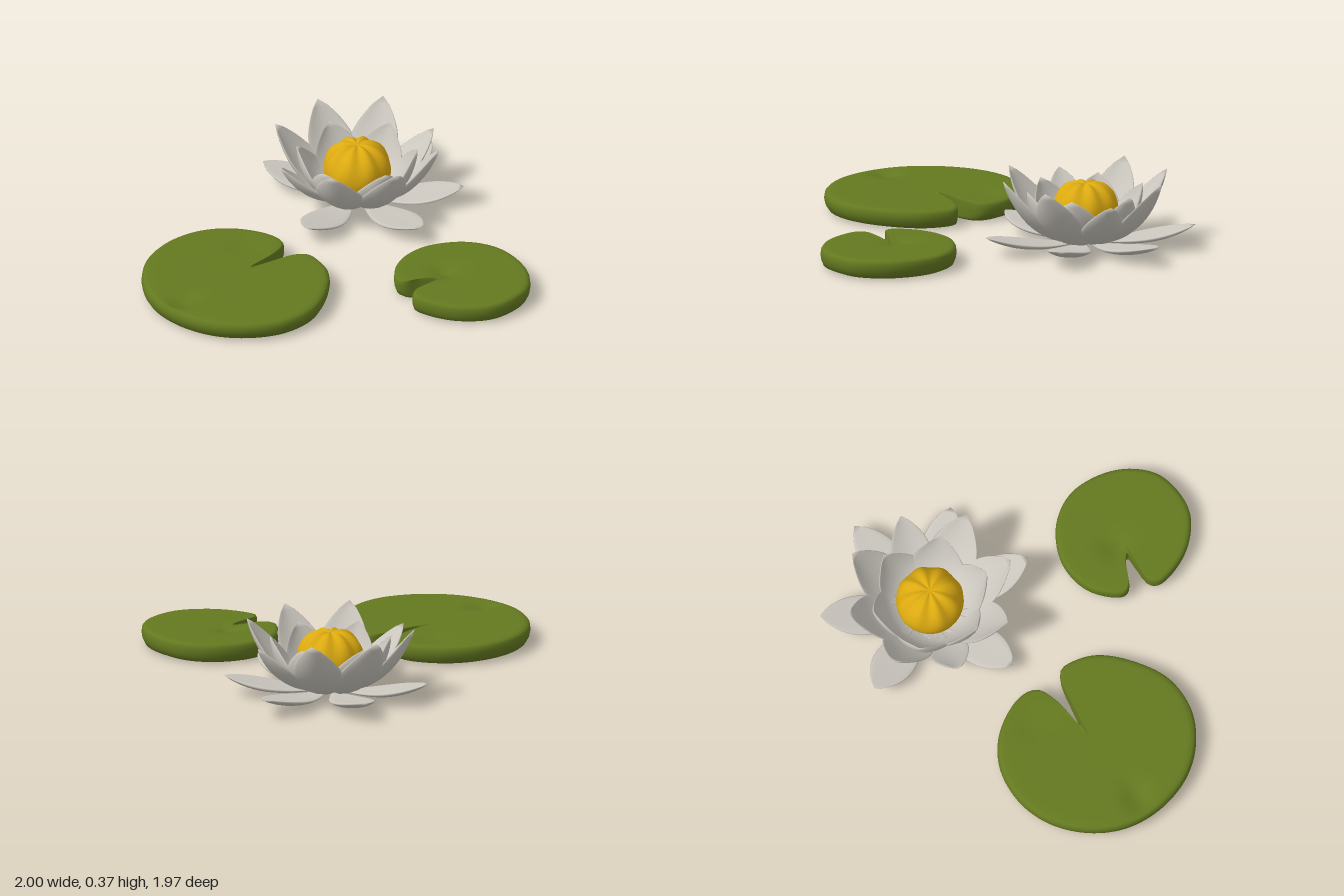
import * as THREE from 'three';
import { mergeVertices } from 'three/addons/utils/BufferGeometryUtils.js';

// Smooth skin over a list of closed rings with equal point counts
function loft(rings) {
  const n = rings[0].length, pos = [], index = [];
  rings.forEach(r => r.forEach(p => pos.push(...p)));
  for (let i = 0; i < rings.length - 1; i++) {
    for (let j = 0; j < n; j++) {
      const k = (j + 1) % n, a = i * n + j, b = i * n + k, c = b + n, d = a + n;
      if (i > 0) index.push(a, b, c);
      else index.push(a, c, d);
      if (i > 0 && i < rings.length - 2) index.push(a, c, d);
    }
  }
  let g = new THREE.BufferGeometry();
  g.setAttribute('position', new THREE.Float32BufferAttribute(pos, 3));
  g.setIndex(index);
  g = mergeVertices(g, 1e-5);
  g.computeVertexNormals();
  return g;
}

// Notched leaf: outline scaled about a hub through a rounded rim profile
function padGeometry(outline, hub, dents) {
  const curve = new THREE.CatmullRomCurve3(outline.map(([x, z]) => new THREE.Vector3(x, 0, z)), true, 'centripetal');
  const edge = curve.getSpacedPoints(120).slice(0, 120);
  const profile = [[0, 0.004], [0.5, 0.002], [0.88, 0.002], [0.96, 0.015], [0.99, 0.04], [1, 0.065], [0.993, 0.088],
    [0.97, 0.1], [0.93, 0.104], [0.85, 0.105], [0.75, 0.105], [0.62, 0.104], [0.48, 0.103], [0.32, 0.102], [0.16, 0.101], [0, 0.1]];
  return loft(profile.map(([s, y], row) => edge.map(p => {
    const x = hub[0] + (p.x - hub[0]) * s, z = hub[1] + (p.z - hub[1]) * s;
    let h = y;
    if (row > 7) for (const [dx, dz, size, depth] of dents) {
      h -= depth * Math.exp(-((x - dx) ** 2 + (z - dz) ** 2) / size ** 2);
    }
    return [x, h, z];
  })));
}

// Cupped petal growing along +x, with a lens-shaped cross-section
function petalGeometry({ ctrl, tip, width, cup, thick, base = [0.03, 0.03] }) {
  const v = p => new THREE.Vector2(...p);
  const spine = new THREE.QuadraticBezierCurve(v(base), v(ctrl), v(tip));
  const rows = 18, sides = 20, rings = [];
  for (let i = 0; i <= rows; i++) {
    const t = i / rows, p = spine.getPoint(t), d = spine.getTangent(t);
    const bulge = Math.pow(Math.max(0, Math.sin(Math.PI * Math.pow(t, 1.3))), 0.75);
    const w = i === rows ? 0 : width * bulge, h = thick * bulge;
    const ring = [];
    for (let j = 0; j < sides; j++) {
      const a = j / sides * Math.PI * 2, c = Math.cos(a);
      const lift = Math.sin(a) * h + cup * c * c * w;
      ring.push([p.x - d.y * lift, p.y + d.x * lift, -c * w]);
    }
    rings.push(ring);
  }
  return loft(rings);
}

export function createModel() {
  const model = new THREE.Group();
  const material = (name, color) => Object.assign(new THREE.MeshStandardMaterial({ color }), { name });
  const leafGreen = material('leafGreen', 0x647920);
  const petalWhite = material('petalWhite', 0xcbc7bf);
  const pollenYellow = material('pollenYellow', 0xdcaa10);
  const add = (parent, name, geometry, mat) => {
    const mesh = new THREE.Mesh(geometry, mat);
    mesh.name = name;
    parent.add(mesh);
    return mesh;
  };

  // Floating leaves
  const large = [[-0.41, 0.06], [-0.24, -0.01], [-0.15, -0.075], [-0.14, -0.13], [-0.17, -0.21], [-0.27, -0.32],
    [-0.39, -0.385], [-0.53, -0.405], [-0.7, -0.365], [-0.85, -0.26], [-0.96, -0.09], [-1, 0.1], [-0.96, 0.3],
    [-0.85, 0.475], [-0.69, 0.585], [-0.5, 0.625], [-0.31, 0.57], [-0.155, 0.42], [-0.075, 0.28], [-0.06, 0.18],
    [-0.08, 0.075], [-0.13, 0.05], [-0.26, 0.055]];
  const small = [[0.39, 0.6], [0.3, 0.563], [0.22, 0.55], [0.193, 0.52], [0.2, 0.47], [0.27, 0.36], [0.37, 0.295],
    [0.5, 0.27], [0.68, 0.32], [0.8, 0.44], [0.845, 0.62], [0.82, 0.78], [0.73, 0.91], [0.52, 0.98], [0.35, 0.92],
    [0.24, 0.81], [0.19, 0.7], [0.215, 0.655], [0.3, 0.628]].reverse();
  add(model, 'largeLeaf', padGeometry(large, [-0.49, 0.08], [[-0.87, 0.2, 0.07, 0.03], [-0.33, -0.17, 0.09, 0.012]]), leafGreen);
  add(model, 'smallLeaf', padGeometry(small, [0.47, 0.6], [[0.45, 0.55, 0.06, 0.025]]), leafGreen);

  // Blossom
  const flower = new THREE.Group();
  flower.name = 'flower';
  flower.position.set(0.46, 0, -0.445);
  model.add(flower);
  const addPetal = (name, degrees, spec) => {
    add(flower, name, petalGeometry(spec), petalWhite).rotation.y = -degrees * Math.PI / 180;
  };

  // Low, spreading petals
  for (const [angle, reach] of [[-76, 0.565], [-128, 0.53], [-22, 0.58], [31, 0.545], [82, 0.565], [147, 0.53]]) {
    addPetal('outerPetal', angle, { ctrl: [0.32, 0.01], tip: [reach, 0.105], width: 0.108, cup: 0.12, thick: 0.018 });
  }
  // Tall petals, with slimmer ones at the two sides
  for (let i = 0; i < 8; i++) {
    const side = i % 4 === 0;
    addPetal('middlePetal', i * 45, {
      ctrl: [0.28, side ? 0.05 : 0.03], tip: [0.44, side ? 0.31 : 0.375],
      width: side ? 0.105 : 0.13, cup: 0.3, thick: 0.018,
    });
  }
  // Cupped petals around the heart
  for (let i = 0; i < 6; i++) {
    addPetal('innerPetal', 30 + i * 60, { ctrl: [0.25, 0.02], tip: [0.31, 0.31], width: 0.14, cup: 0.35, thick: 0.016 });
  }

  // Lobed golden heart with a dimpled crown
  let heart = new THREE.SphereGeometry(1, 48, 32);
  heart.deleteAttribute('uv');
  heart.deleteAttribute('normal');
  heart = mergeVertices(heart, 1e-4);
  const pos = heart.attributes.position;
  for (let i = 0; i < pos.count; i++) {
    const p = new THREE.Vector3().fromBufferAttribute(pos, i);
    const ring = Math.hypot(p.x, p.z), a = Math.atan2(p.z, p.x);
    const lobes = p.y > 0 ? 0.05 * Math.cos(8 * a) * ring * p.y * 2 : 0;
    const dimple = 0.1 * Math.exp(-((ring / 0.3) ** 2)) * (p.y > 0 ? 1 : 0);
    p.multiplyScalar(1 + lobes - dimple);
    pos.setXYZ(i, p.x * 0.173, 0.185 + p.y * 0.162, p.z * 0.173);
  }
  heart.computeVertexNormals();
  add(flower, 'flowerHeart', heart, pollenYellow);

  return model;
}
